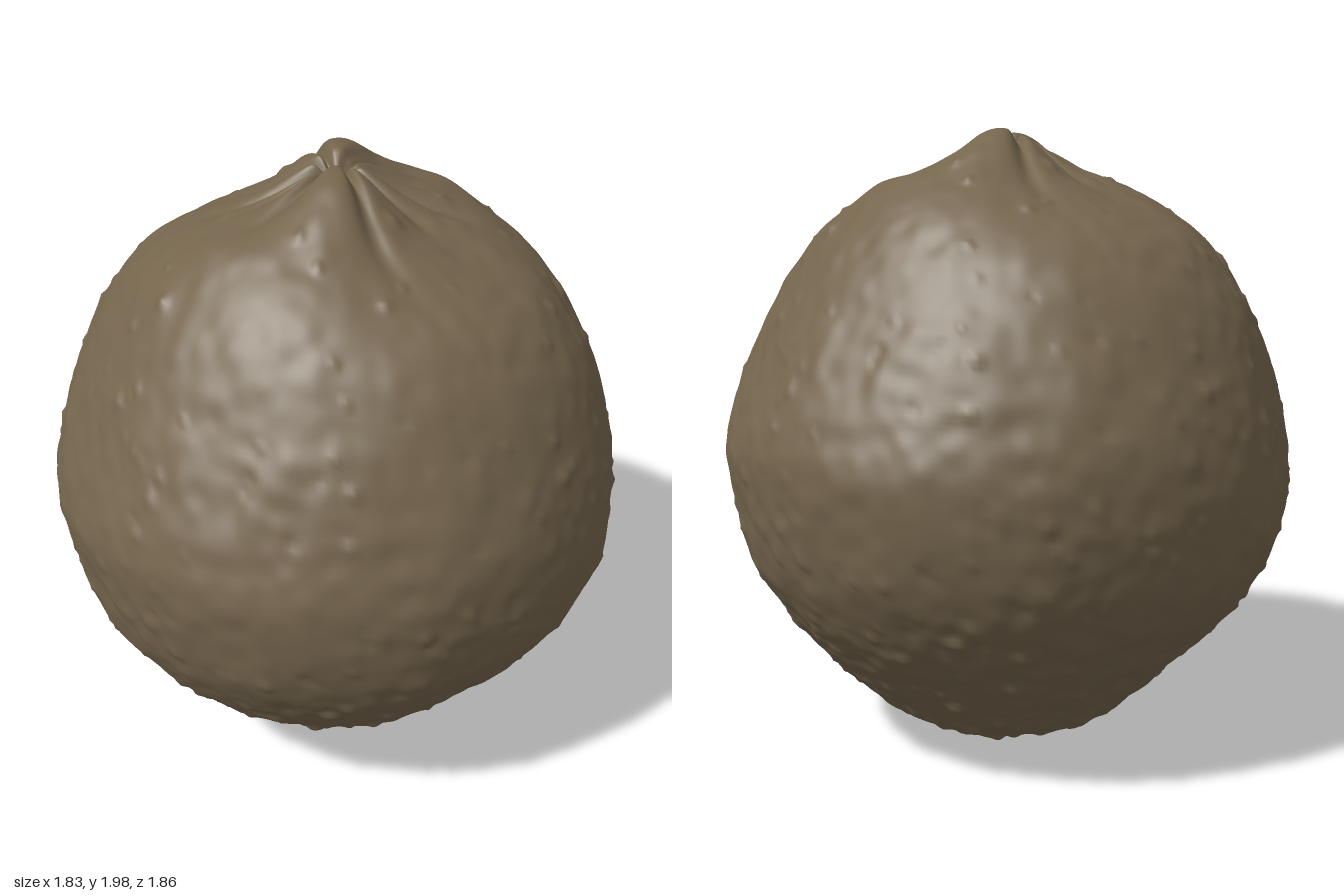
import * as THREE from 'three';

const RINGS = 200, SIDES = 340, MIDDLE = 0.97;
const { smoothstep, lerp, clamp, degToRad } = THREE.MathUtils;

// Small seeded generator for the scattered warts
function seeded(seed) {
  return () => {
    seed = (seed * 16807) % 2147483647;
    return seed / 2147483647;
  };
}

// Smooth value noise
function hash(x, y, z) {
  const s = Math.sin(x * 127.1 + y * 311.7 + z * 74.7) * 43758.5453;
  return s - Math.floor(s);
}
function noise(x, y, z) {
  const [ix, iy, iz] = [x, y, z].map(Math.floor);
  const [fx, fy, fz] = [x - ix, y - iy, z - iz].map((t) => t * t * (3 - 2 * t));
  let sum = 0;
  for (let c = 0; c < 8; c++) {
    const a = c & 1, b = (c >> 1) & 1, d = c >> 2;
    sum += hash(ix + a, iy + b, iz + d) * (a ? fx : 1 - fx) * (b ? fy : 1 - fy) * (d ? fz : 1 - fz);
  }
  return sum * 2 - 1;
}
// The fruit repeats after half a turn, so the noise does too
const turnNoise = (p, f) => (noise(p.x * f, p.y * f, p.z * f) + noise(-p.x * f, p.y * f, -p.z * f)) / 2;

// Profile from crown to base: half width in x, height, half width in z
const profile = new THREE.CatmullRomCurve3([
  [0, 1.93, 0], [0.1, 1.915, 0.11], [0.3, 1.835, 0.41], [0.45, 1.77, 0.52], [0.63, 1.665, 0.615],
  [0.765, 1.5, 0.715], [0.845, 1.3, 0.83], [0.885, 1.15, 0.895], [0.905, 1.02, 0.93], [0.905, 0.85, 0.915],
  [0.87, 0.69, 0.88], [0.8, 0.56, 0.81], [0.69, 0.425, 0.71], [0.585, 0.315, 0.605], [0.485, 0.215, 0.5],
  [0.38, 0.125, 0.39], [0.27, 0.07, 0.28], [0.15, 0.025, 0.16], [0, 0.02, 0],
].map((p) => new THREE.Vector3(...p)));

// Radial creases at the crown: [angle in degrees, length, depth], each with an opposite twin
const creases = [[0, 0.4, 0.035], [-36, 0.5, 0.04], [-55, 0.4, 0.02], [-75, 0.45, 0.035], [-92, 0.35, 0.02], [34, 0.65, 0.035]];

// Swollen lobe on each side of the crown
function lobe(x, z) {
  const along = x * 0.45 + z * 0.893 - 0.18;
  const across = x * 0.893 - z * 0.45 - 0.015;
  return 0.09 * Math.exp(-((along / 0.18) ** 2) - (across / 0.14) ** 2);
}

function crownHeight(x, z) {
  const r = Math.hypot(x, z);
  let h = (lobe(x, z) + lobe(-x, -z)) * smoothstep(r, 0, 0.08);
  const angle = Math.atan2(z, x);
  for (const [deg, length, depth] of creases) {
    const bend = angle - degToRad(deg) + 0.08 * Math.sin(r * 8 + deg);
    const off = Math.abs(Math.sin(bend)) * r;
    const width = 0.006 + r * 0.09;
    h -= depth * Math.exp(-((off / width) ** 2)) * (1 - smoothstep(r, length * 0.25, length)) * smoothstep(r, 0, 0.06);
  }
  return h;
}

// Scattered warts on a ball around the middle, denser toward the base
function makeWarts() {
  const rand = seeded(4711), warts = [];
  while (warts.length < 560) {
    const y = rand() * 1.84 - 0.93, a = rand() * Math.PI * 2, size = rand();
    if (rand() > 0.62 - y * 0.5) continue;
    const reach = Math.sqrt(0.95 ** 2 - y * y);
    const radius = 0.013 + 0.014 * size * size;
    const height = (rand() < 0.25 ? -0.3 : 0.45) * radius;
    const x = Math.cos(a) * reach, z = Math.sin(a) * reach;
    warts.push({ x, y, z, radius, height }, { x: -x, y, z: -z, radius, height });
  }
  return warts;
}

function shapeSurface(p, normal, warts) {
  const lower = 1 - smoothstep(p.y, 0.2, 1.9);
  const r = Math.hypot(p.x, p.z);
  let d = turnNoise(p, 2.6) * 0.012 + turnNoise(p, 7) * 0.009 + turnNoise(p, 17) * (0.005 + 0.004 * lower);
  // Flaky rim and radial creases around the base
  if (p.y < 0.3) {
    const rim = 1 - smoothstep(p.y, 0.05, 0.3);
    const fold = 1 - Math.abs(Math.sin(Math.atan2(p.z, p.x) * 4 + 3 * r));
    d += rim * (turnNoise(p, 26) * 0.016 - fold ** 6 * 0.016 * (1 - smoothstep(r, 0.12, 0.4)));
  }
  for (const w of warts) {
    const dy = normal.y * 0.95 - w.y;
    if (Math.abs(dy) > w.radius * 2) continue;
    const s = ((normal.x * 0.95 - w.x) ** 2 + dy * dy + (normal.z * 0.95 - w.z) ** 2) / (w.radius * w.radius);
    if (s < 4) d += w.height * Math.exp(-s * 1.3);
  }
  const crown = p.y > 1.3 ? crownHeight(p.x, p.z) : 0;
  const calm = smoothstep(r, 0, p.y > 1 ? 0.3 : 0.08);
  p.addScaledVector(normal, d * calm);
  p.y = clamp(p.y + crown, 0, 2);
}

function makeFruitGeometry() {
  const warts = makeWarts(), positions = [], index = [];
  const point = new THREE.Vector3(), normal = new THREE.Vector3();
  for (let i = 0; i <= RINGS; i++) {
    const c = profile.getPointAt(i / RINGS);
    for (let j = 0; j < SIDES; j++) {
      const a = (j / SIDES) * Math.PI * 2;
      const radius = lerp(c.x, c.z, Math.sin(a) ** 2);
      point.set(Math.cos(a) * radius, c.y, Math.sin(a) * radius);
      normal.set(point.x, point.y - MIDDLE, point.z).normalize();
      shapeSurface(point, normal, warts);
      positions.push(point.x, point.y, point.z);
      if (i === RINGS) continue;
      const k = (j + 1) % SIDES, top = i * SIDES, low = top + SIDES;
      if (i > 0) index.push(top + j, top + k, low + j);
      if (i < RINGS - 1) index.push(top + k, low + k, low + j);
    }
  }
  const geometry = new THREE.BufferGeometry();
  geometry.setAttribute('position', new THREE.Float32BufferAttribute(positions, 3));
  geometry.setIndex(index);
  geometry.computeVertexNormals();
  return geometry;
}

export function createModel() {
  const group = new THREE.Group();
  group.name = 'wrinkledFruit';
  const skin = new THREE.MeshStandardMaterial({ color: 0x75654d });
  skin.name = 'earthy brown';
  const body = new THREE.Mesh(makeFruitGeometry(), skin);
  body.name = 'fruitBody';
  group.add(body);
  return group;
}
